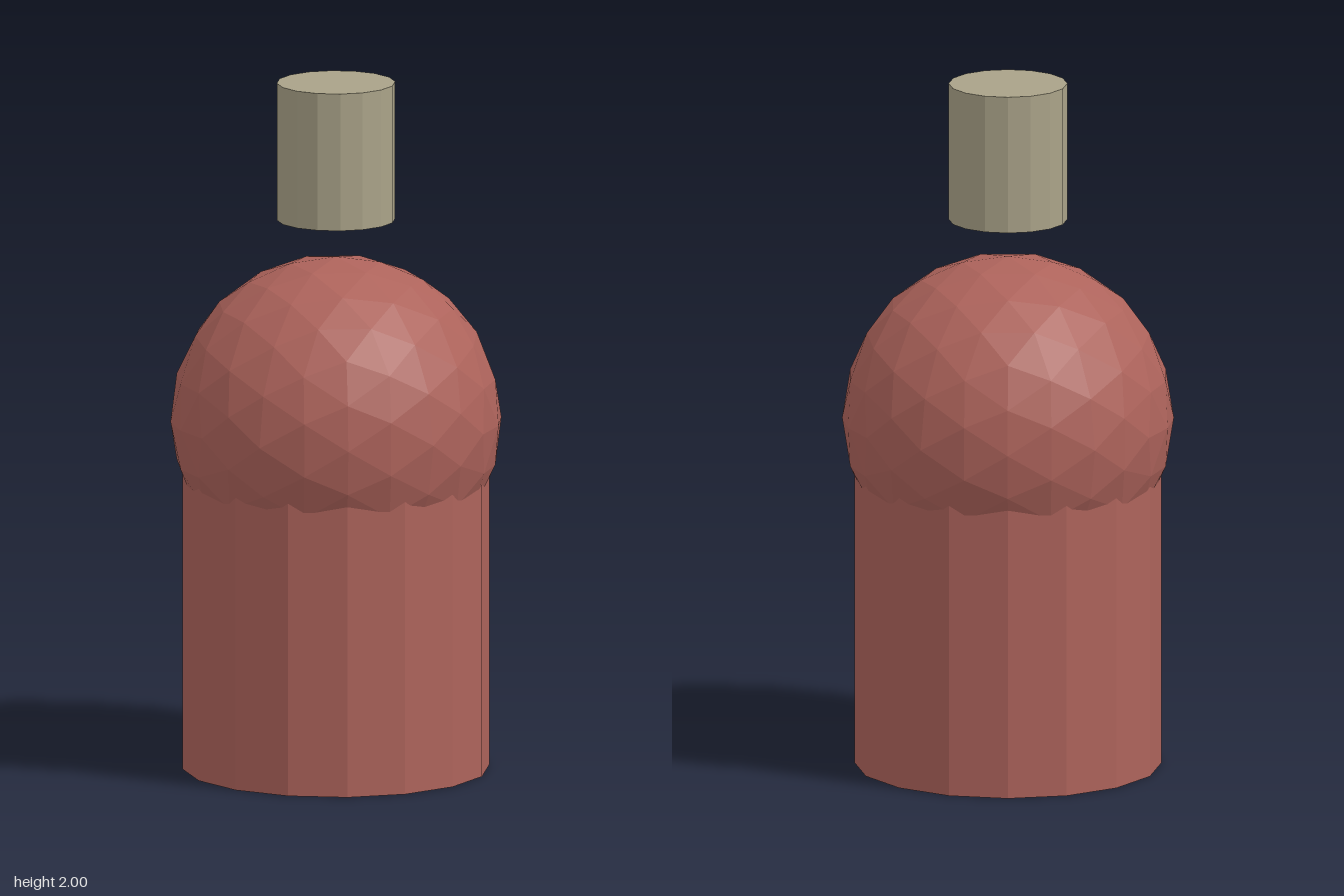
import * as THREE from 'three';

const paint = (color) => new THREE.MeshStandardMaterial({ color, flatShading: true });

// Icosphere made by halving every edge and pushing the midpoints out to the radius
function icosphere(radius, levels) {
  const source = new THREE.IcosahedronGeometry(radius, 0).getAttribute('position');
  let points = [];
  for (let i = 0; i < source.count; i++) points.push(new THREE.Vector3().fromBufferAttribute(source, i));
  const middle = (p, q) => p.clone().add(q).setLength(radius);
  for (let level = 0; level < levels; level++) {
    const next = [];
    for (let i = 0; i < points.length; i += 3) {
      const [a, b, c] = points.slice(i, i + 3);
      const ab = middle(a, b), bc = middle(b, c), ca = middle(c, a);
      next.push(a, ab, ca, ab, b, bc, ca, bc, c, ab, bc, ca);
    }
    points = next;
  }
  const geometry = new THREE.BufferGeometry().setFromPoints(points);
  geometry.computeVertexNormals();
  return geometry;
}

export function createModel() {
  const model = new THREE.Group();
  const red = paint(0xad635b);
  const beige = paint(0xa9a288);

  const add = (name, geometry, material, y) => {
    const mesh = new THREE.Mesh(geometry, material);
    mesh.name = name;
    mesh.position.y = y;
    model.add(mesh);
  };

  // Sixteen-sided body, running up inside the dome
  const bodyHeight = 1.016;
  add('body', new THREE.CylinderGeometry(0.44, 0.44, bodyHeight, 16), red, bodyHeight / 2);

  // Faceted dome, slightly wider than the body
  add('dome', icosphere(0.475, 2), red, bodyHeight);

  // Cap floating above the dome
  add('cap', new THREE.CylinderGeometry(0.17, 0.17, 0.4, 16), beige, 1.8);

  return model;
}
